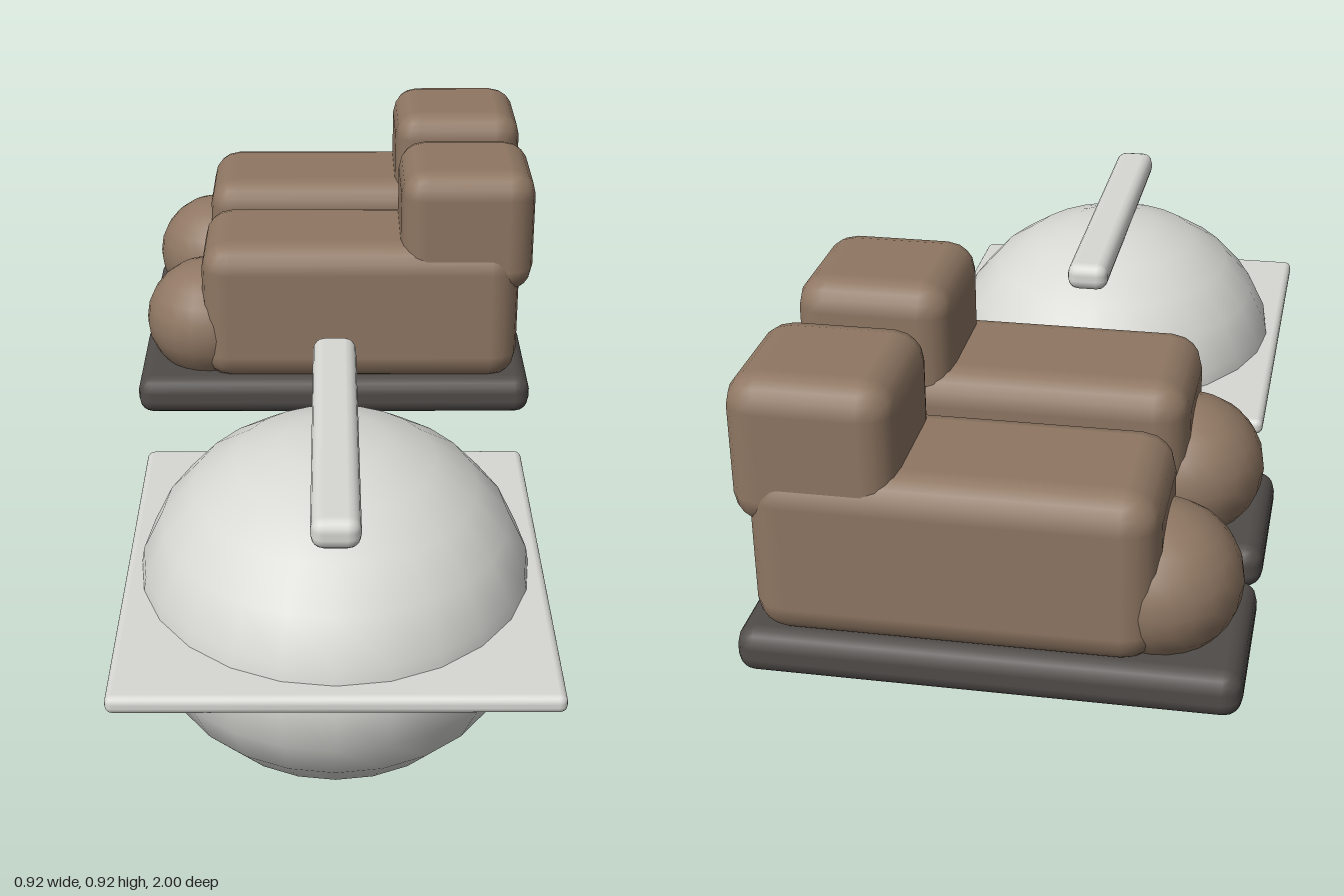
import * as THREE from 'three';
import { RoundedBoxGeometry } from 'three/addons/geometries/RoundedBoxGeometry.js';

const material = (name, color) => {
  const m = new THREE.MeshStandardMaterial({ color });
  m.name = name;
  return m;
};

export function createModel() {
  const white = material('off white', 0xd8d8d4);
  const brown = material('brown', 0x8f7763);
  const dark = material('dark grey', 0x504c49);

  const add = (parent, name, geometry, mat, x, y, z) => {
    const mesh = new THREE.Mesh(geometry, mat);
    mesh.name = name;
    mesh.position.set(x, y, z);
    parent.add(mesh);
    return mesh;
  };

  // rounded box given by its extents in x and y and its depth
  const block = (parent, name, mat, [x0, x1], [y0, y1], depth, radius, z = 0) =>
    add(parent, name, new RoundedBoxGeometry(x1 - x0, y1 - y0, depth, 2, radius),
      mat, (x0 + x1) / 2, (y0 + y1) / 2, z);

  const ellipsoid = (parent, name, mat, radii, x, y, z) =>
    add(parent, name, new THREE.SphereGeometry(1, 24, 12).scale(...radii), mat, x, y, z);

  const model = new THREE.Group();
  model.name = 'model';

  // egg-shaped vessel with a flat rim and a bar along its top
  const vessel = new THREE.Group();
  vessel.name = 'vessel';
  vessel.position.z = 0.526;
  model.add(vessel);
  ellipsoid(vessel, 'shell', white, [0.39, 0.337, 0.445], 0, 0.338, 0);
  block(vessel, 'rimPlate', white, [-0.41, 0.41], [0.361, 0.397], 0.948, 0.015);
  block(vessel, 'topBar', white, [-0.045, 0.045], [0.648, 0.708], 0.794, 0.024);

  // two identical seated blocks, one behind the other
  [-0.396, -0.825].forEach((z, i) => {
    const unit = new THREE.Group();
    unit.name = i === 0 ? 'frontUnit' : 'rearUnit';
    unit.position.z = z;
    model.add(unit);
    block(unit, 'base', dark, [-0.458, 0.458], [0.342, 0.432], 0.35, 0.035);
    block(unit, 'body', brown, [-0.305, 0.427], [0.418, 0.752], 0.322, 0.065);
    block(unit, 'upperBlock', brown, [0.153, 0.457], [0.632, 0.922], 0.304, 0.06);
    ellipsoid(unit, 'roundEnd', brown, [0.15, 0.141, 0.155], -0.293, 0.523, 0);
  });

  return model;
}
